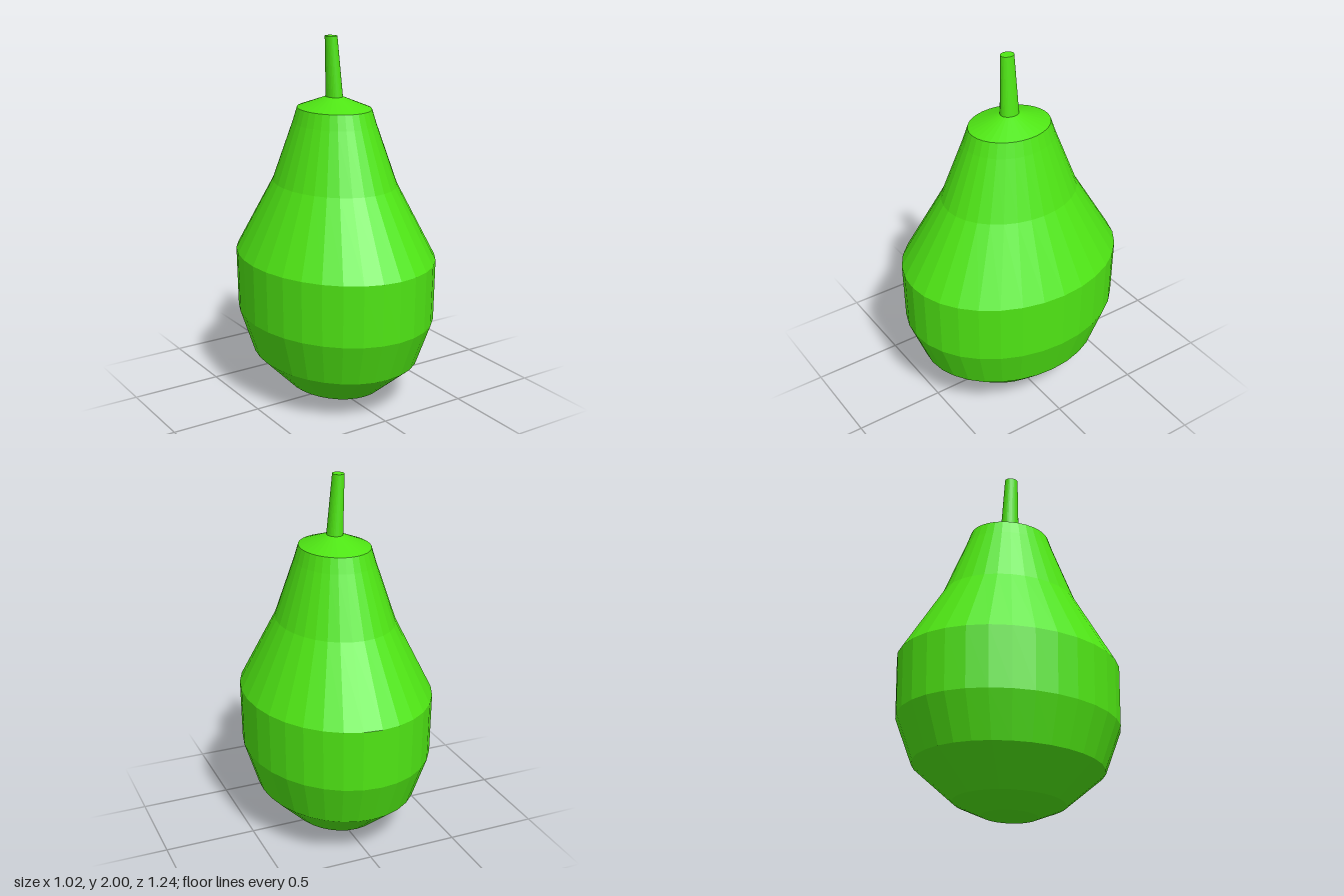
import * as THREE from 'three';

const SIDES = 32;
const DEPTH = 1.22; // cross-sections are ellipses, deeper than wide

// Faceted elliptical lathe from [radius, height] pairs
function ovalLathe(profile) {
  const points = profile.map(([r, y]) => new THREE.Vector2(r, y));
  return new THREE.LatheGeometry(points, SIDES).scale(1, 1, DEPTH);
}

export function createModel() {
  const group = new THREE.Group();
  group.name = 'pear';
  const material = new THREE.MeshStandardMaterial({ color: 0x4fe614 });
  material.flatShading = true;

  // Fruit: flat base, round belly, tapering neck and shallow cone on top
  const fruit = new THREE.Mesh(ovalLathe([
    [0, 0], [0.125, 0], [0.25, 0.065], [0.43, 0.25], [0.505, 0.49],
    [0.51, 0.825], [0.315, 1.22], [0.21, 1.54], [0.187, 1.62], [0.043, 1.68],
  ]), material);
  fruit.name = 'fruit';
  group.add(fruit);

  // Stem: tapers and leans toward -x
  const bottom = 1.68, top = 2;
  const stemGeometry = ovalLathe([[0.043, bottom], [0.031, top], [0, top]]);
  const pos = stemGeometry.attributes.position;
  for (let i = 0; i < pos.count; i++) {
    const t = (pos.getY(i) - bottom) / (top - bottom);
    pos.setX(i, pos.getX(i) - 0.02 * t);
  }
  stemGeometry.computeVertexNormals();
  const stem = new THREE.Mesh(stemGeometry, material);
  stem.name = 'stem';
  group.add(stem);

  return group;
}
